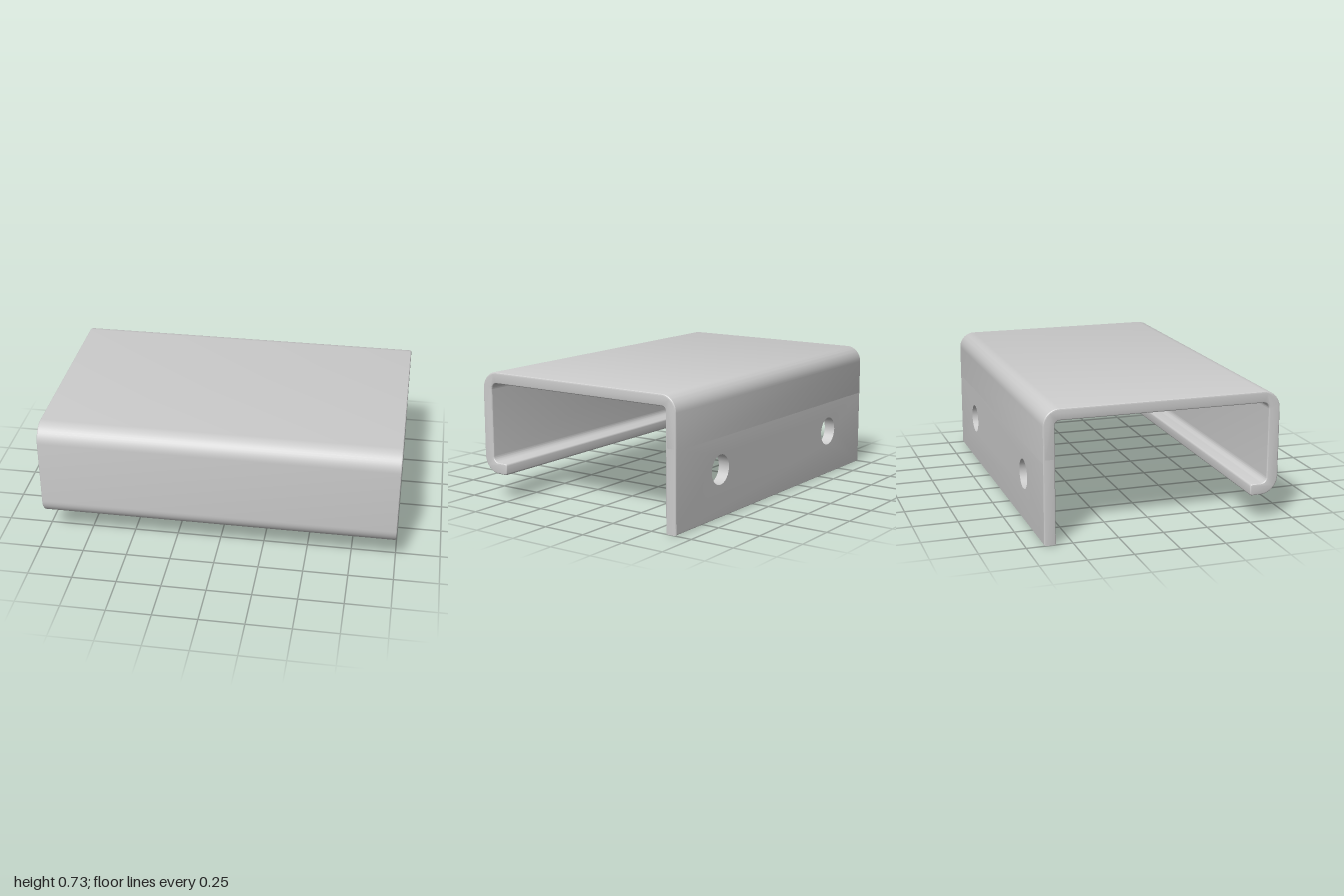
import * as THREE from 'three';
import { toCreasedNormals } from 'three/addons/utils/BufferGeometryUtils.js';

const B = 0.01;            // small rounding on all sheet edges
const T = 0.065;           // sheet thickness
const W = 0.655;           // half depth
const H = 0.727;           // height
const SEAM = 0.45;         // where the drilled plate meets the bent sheet
const HOLE = { x: 0.59, y: 0.265, r: 0.083 };

// Closed outline from [x, y, cornerRadius] points
function roundedShape(points) {
  const shape = new THREE.Shape();
  const n = points.length;
  points.forEach(([x, y, r], i) => {
    const p = new THREE.Vector2(x, y);
    const toward = ([qx, qy], d) => new THREE.Vector2(qx - x, qy - y).setLength(d).add(p);
    const prev = points[(i + n - 1) % n], next = points[(i + 1) % n];
    if (r === 0) {
      if (i === 0) shape.moveTo(x, y); else shape.lineTo(x, y);
      return;
    }
    const k = r * 0.4477;
    const a = toward(prev, r), c1 = toward(prev, k), c2 = toward(next, k), b = toward(next, r);
    if (i === 0) shape.moveTo(a.x, a.y); else shape.lineTo(a.x, a.y);
    shape.bezierCurveTo(c1.x, c1.y, c2.x, c2.y, b.x, b.y);
  });
  shape.closePath();
  return shape;
}

// Extrusion with softened rims, centred on its own depth
function extrude(shape, depth) {
  const geo = new THREE.ExtrudeGeometry(shape, {
    depth: depth - 2 * B, curveSegments: 12,
    bevelEnabled: true, bevelSize: B, bevelThickness: B, bevelOffset: -B, bevelSegments: 3,
  });
  return geo.translate(0, 0, -depth / 2 + B);
}

export function createModel() {
  const group = new THREE.Group();
  const material = new THREE.MeshStandardMaterial({ color: 0xcccccc });
  const add = (name, geo) => {
    const mesh = new THREE.Mesh(toCreasedNormals(geo, 0.35), material);
    mesh.name = name;
    group.add(mesh);
  };

  // Bent sheet: lip, front wall, top and rear bend, swept along x
  const lipY = 0.15, lipEnd = -0.495, cut = SEAM - B;
  const profile = roundedShape([
    [W, cut, 0],
    [W, H, 0.09],
    [-W, H, 0.1],
    [-W, lipY, 0.1],
    [lipEnd, lipY, 0.013],
    [lipEnd, lipY + T, 0.013],
    [-W + T, lipY + T, 0.035],
    [-W + T, H - T, 0.035],
    [W - T, H - T, 0.025],
    [W - T, cut, 0],
  ].reverse());
  add('bentSheet', extrude(profile, 2).rotateY(Math.PI / 2));

  // Rear plate with two bolt holes; its top rim is buried in the bent sheet
  const top = SEAM + B;
  const outline = roundedShape([[-1, 0, 0], [1, 0, 0], [1, top, 0], [-1, top, 0]]);
  for (const side of [-1, 1]) {
    const hole = new THREE.Path();
    hole.absarc(side * HOLE.x, HOLE.y, HOLE.r, 0, Math.PI * 2, true);
    outline.holes.push(hole);
  }
  const plate = extrude(outline, T);

  // Keep the holes straight and sharp-edged
  const pos = plate.attributes.position;
  for (let i = 0; i < pos.count; i++) {
    const cx = Math.sign(pos.getX(i)) * HOLE.x;
    const dx = pos.getX(i) - cx, dy = pos.getY(i) - HOLE.y;
    const d = Math.hypot(dx, dy);
    if (d < HOLE.r + 2 * B) {
      pos.setXY(i, cx + (dx / d) * HOLE.r, HOLE.y + (dy / d) * HOLE.r);
    }
  }
  add('rearPlate', plate.translate(0, 0, -W + T / 2));

  return group;
}
